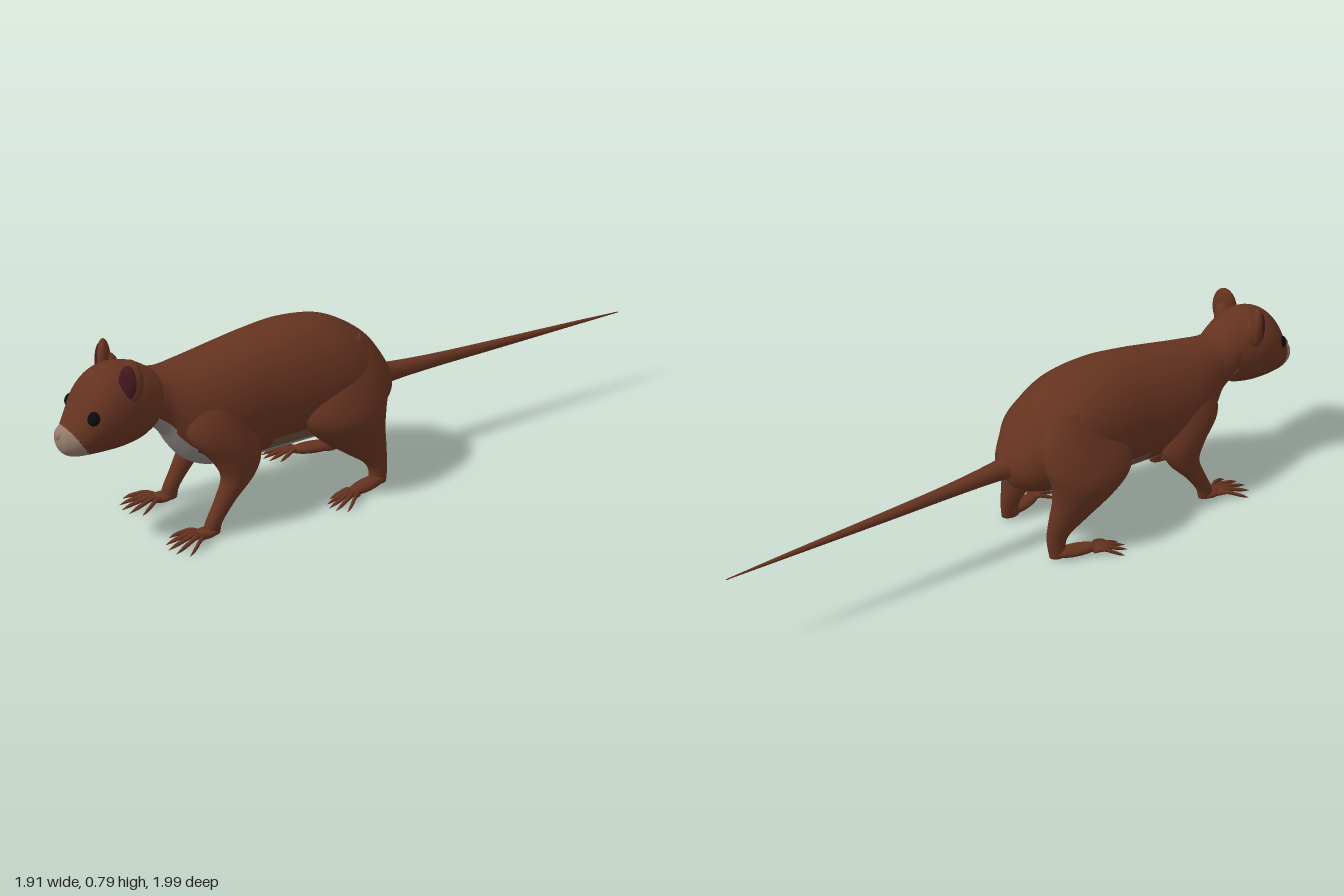
import * as THREE from 'three';

const mat = (name, color) => Object.assign(new THREE.MeshStandardMaterial({ color }), { name });

// Smooth skin through elliptical rings. Each row: [t, a, b, ra, rb].
// axis 'z': t=z rising, a=x, b=y.   axis 'y': t=y falling, a=x, b=z.
// pick(angleFromBottom, t, y) chooses the material slot of each face.
function loft(rows, axis, steps, sides, pick = () => 0) {
  const centre = new THREE.CatmullRomCurve3(rows.map(r => new THREE.Vector3(r[0], r[1], r[2])), false, 'catmullrom');
  const radius = new THREE.CatmullRomCurve3(rows.map(r => new THREE.Vector3(r[3], r[4] ?? r[3], 0)), false, 'catmullrom');
  const pos = [], slots = [[], [], [], []];
  for (let i = -1; i <= steps + 1; i++) {
    const u = Math.min(Math.max(i / steps, 0), 1);
    const c = centre.getPoint(u), r = radius.getPoint(u);
    const k = i < 0 || i > steps ? 0 : 1; // closed ends
    for (let j = 0; j < sides; j++) {
      const th = j / sides * Math.PI * 2;
      const p = c.y + k * r.x * Math.sin(th), q = c.z - k * r.y * Math.cos(th);
      if (axis === 'z') pos.push(p, q, c.x);
      else pos.push(p, c.x, q);
    }
  }
  for (let i = 0; i < steps + 2; i++) {
    for (let j = 0; j < sides; j++) {
      const a = i * sides + j, b = i * sides + (j + 1) % sides, c = a + sides, d = b + sides;
      const f = (j + 0.5) / sides * Math.PI * 2;
      const slot = pick(Math.min(f, Math.PI * 2 - f), pos[a * 3 + 2], pos[a * 3 + 1]);
      slots[slot].push(a, b, c, b, d, c);
    }
  }
  const geo = new THREE.BufferGeometry();
  geo.setAttribute('position', new THREE.Float32BufferAttribute(pos, 3));
  geo.setIndex(slots.flat());
  let start = 0;
  slots.forEach((s, m) => {
    if (s.length) geo.addGroup(start, s.length, m);
    start += s.length;
  });
  geo.computeVertexNormals();
  return geo;
}

export function createModel() {
  const fur = mat('brown fur', 0x653320);
  const belly = mat('grey belly fur', 0x8c8580);
  const blend = mat('grey brown fur', 0x684f41);
  const muzzleFur = mat('pale muzzle', 0x937a6b);
  const earPink = mat('inner ear', 0x451820);
  const eyeBlack = mat('eye black', 0x0c0c0e);
  const coat = [fur, belly, blend, muzzleFur];

  const animal = new THREE.Group();
  animal.name = 'animal';
  const add = (name, geo, material, parent = animal) => {
    const m = new THREE.Mesh(geo, material);
    m.name = name;
    parent.add(m);
    return m;
  };
  const ball = (name, material, p, s, parent) => {
    const m = add(name, new THREE.SphereGeometry(1, 24, 16), material, parent);
    m.position.set(...p);
    m.scale.set(...s);
    return m;
  };
  // [z, top, bottom, half width] rows to ring rows
  const profile = (rows, x) => rows.map(([z, t, b, w]) => [z, x, (t + b) / 2, w, (t - b) / 2]);

  // Body from rump to neck, with a grey underside
  const bodyRows = profile([
    [-0.13, 0.42, 0.36, 0.025], [-0.11, 0.46, 0.31, 0.075], [-0.06, 0.54, 0.27, 0.13],
    [0, 0.615, 0.25, 0.172], [0.1, 0.685, 0.235, 0.207], [0.2, 0.725, 0.225, 0.217],
    [0.35, 0.742, 0.22, 0.212], [0.5, 0.73, 0.215, 0.2], [0.62, 0.71, 0.215, 0.198],
    [0.74, 0.69, 0.23, 0.185], [0.82, 0.68, 0.27, 0.162], [0.87, 0.675, 0.33, 0.137],
    [0.91, 0.675, 0.4, 0.118], [0.97, 0.685, 0.46, 0.112], [1.03, 0.69, 0.5, 0.1]], 0.01);
  add('body', loft(bodyRows, 'z', 96, 64, (a, z) => {
    if (z < 0.13) return a < 0.6 ? 2 : 0;
    const edge = 0.66 + Math.max(z - 0.6, 0) * 1.3;
    if (a < edge) return 1;
    return z < 0.5 && a < edge + 0.28 ? 2 : 0;
  }), coat);

  // Head with pale chin and muzzle
  const headX = 0.025;
  const headRows = profile([
    [0.92, 0.66, 0.5, 0.085], [0.96, 0.695, 0.46, 0.104], [1.02, 0.73, 0.425, 0.126],
    [1.1, 0.746, 0.41, 0.14], [1.17, 0.73, 0.408, 0.137], [1.23, 0.682, 0.408, 0.117],
    [1.275, 0.605, 0.41, 0.088], [1.305, 0.55, 0.418, 0.067], [1.33, 0.528, 0.437, 0.049],
    [1.341, 0.505, 0.462, 0.024]], headX);
  add('head', loft(headRows, 'z', 120, 64, (a, z, y) => {
    if (z > 1.24 + (y - 0.42) * 0.6 && y < 0.54) return y < 0.435 ? 1 : 3;
    return z > 1 && a < 0.5 ? 1 : 0;
  }), coat);
  ball('nose', muzzleFur, [headX, 0.508, 1.332], [0.024, 0.02, 0.016]);

  // Long tapering tail
  add('tail', loft([
    [-1.379, -0.035, 0.355, 0.002], [-1.1, -0.028, 0.362, 0.01], [-0.7, -0.018, 0.37, 0.02],
    [-0.4, -0.01, 0.378, 0.028], [-0.2, -0.003, 0.385, 0.038], [-0.12, 0, 0.388, 0.048],
    [-0.04, 0, 0.395, 0.07]], 'z', 48, 16), fur);

  const frontLeg = [
    [0.63, 0.07, 0.73, 0.04, 0.06], [0.51, 0.108, 0.735, 0.087, 0.12], [0.41, 0.145, 0.72, 0.089, 0.138],
    [0.31, 0.178, 0.672, 0.067, 0.106], [0.23, 0.19, 0.672, 0.051, 0.072], [0.14, 0.192, 0.732, 0.036, 0.046],
    [0.06, 0.192, 0.783, 0.029, 0.036], [0.012, 0.192, 0.797, 0.026, 0.036]];
  const hindLeg = [
    [0.64, 0.08, 0.14, 0.06, 0.09], [0.53, 0.115, 0.14, 0.095, 0.16], [0.43, 0.158, 0.172, 0.102, 0.2],
    [0.35, 0.183, 0.178, 0.1, 0.184], [0.27, 0.185, 0.145, 0.081, 0.147], [0.18, 0.177, 0.08, 0.056, 0.095],
    [0.11, 0.172, 0.03, 0.038, 0.053], [0.06, 0.175, 0.018, 0.031, 0.04], [0.012, 0.18, 0.024, 0.027, 0.04]];
  // Mirror rows across the body, with an optional sideways shift for the stance
  const flip = (rows, s, dx = 0) => rows.map(([t, x, ...rest]) => [t, x * s + dx, ...rest]);

  // Slim clawed toes fanning out from a foot
  const toes = (name, s, x, z, length, spread, lean, dx) => {
    for (let i = 0; i < 5; i++) {
      const k = i / 2 - 1;
      const len = length * (1 - 0.3 * k * k), fan = k * spread + lean;
      const rows = [[0, 0.25, 0.022, 0.011], [0.3, 0.5, 0.032, 0.01], [0.6, 0.75, 0.022, 0.009],
        [0.8, 0.9, 0.014, 0.007], [1, 1, 0.004, 0.001]]
        .map(([t, f, y, r]) => [z + t * len, x + f * fan, y, r]);
      add(name, loft(flip(rows, s, dx), 'z', 16, 10), fur);
    }
  };

  for (const s of [1, -1]) {
    const side = s > 0 ? 'left' : 'right';
    // Legs and feet
    const stance = s > 0 ? 0 : 0.035;
    add(side + 'FrontLeg', loft(flip(frontLeg, s, stance), 'y', 48, 40), fur);
    ball(side + 'FrontFoot', fur, [s * 0.194 + stance, 0.022, 0.822], [0.036, 0.02, 0.05]);
    toes(side + 'FrontToe', s, 0.194, 0.835, 0.16, 0.085, 0.016, stance);
    add(side + 'HindLeg', loft(flip(hindLeg, s), 'y', 48, 40), fur);
    const foot = ball(side + 'HindFoot', fur, [s * 0.202, 0.026, 0.09], [0.036, 0.024, 0.105]);
    foot.rotation.y = s * 0.25;
    toes(side + 'HindToe', s, 0.222, 0.155, 0.145, 0.065, 0.035, 0);

    // Eye
    ball(side + 'Eye', eyeBlack, [headX + s * 0.097, 0.585, 1.226], [0.023, 0.031, 0.031]);

    // Upright ear, opening forward and outward, on a thick root
    const ear = new THREE.Group();
    ear.name = side + 'Ear';
    ear.position.set(headX + s * 0.11, 0.703, 1.085);
    ear.rotation.set(0, s * 0.58, -s * 0.1, 'YXZ');
    ball('earShell', fur, [0, 0, -0.002], [0.054, 0.091, 0.028], ear);
    ball('earRoot', fur, [0, -0.038, -0.022], [0.04, 0.075, 0.04], ear);
    ball('earInside', earPink, [0, 0.002, 0.01], [0.041, 0.073, 0.021], ear);
    animal.add(ear);
  }

  // Stands diagonally, facing front right
  animal.rotation.y = -Math.PI / 4;
  const model = new THREE.Group();
  model.name = 'model';
  model.add(animal);
  return model;
}
